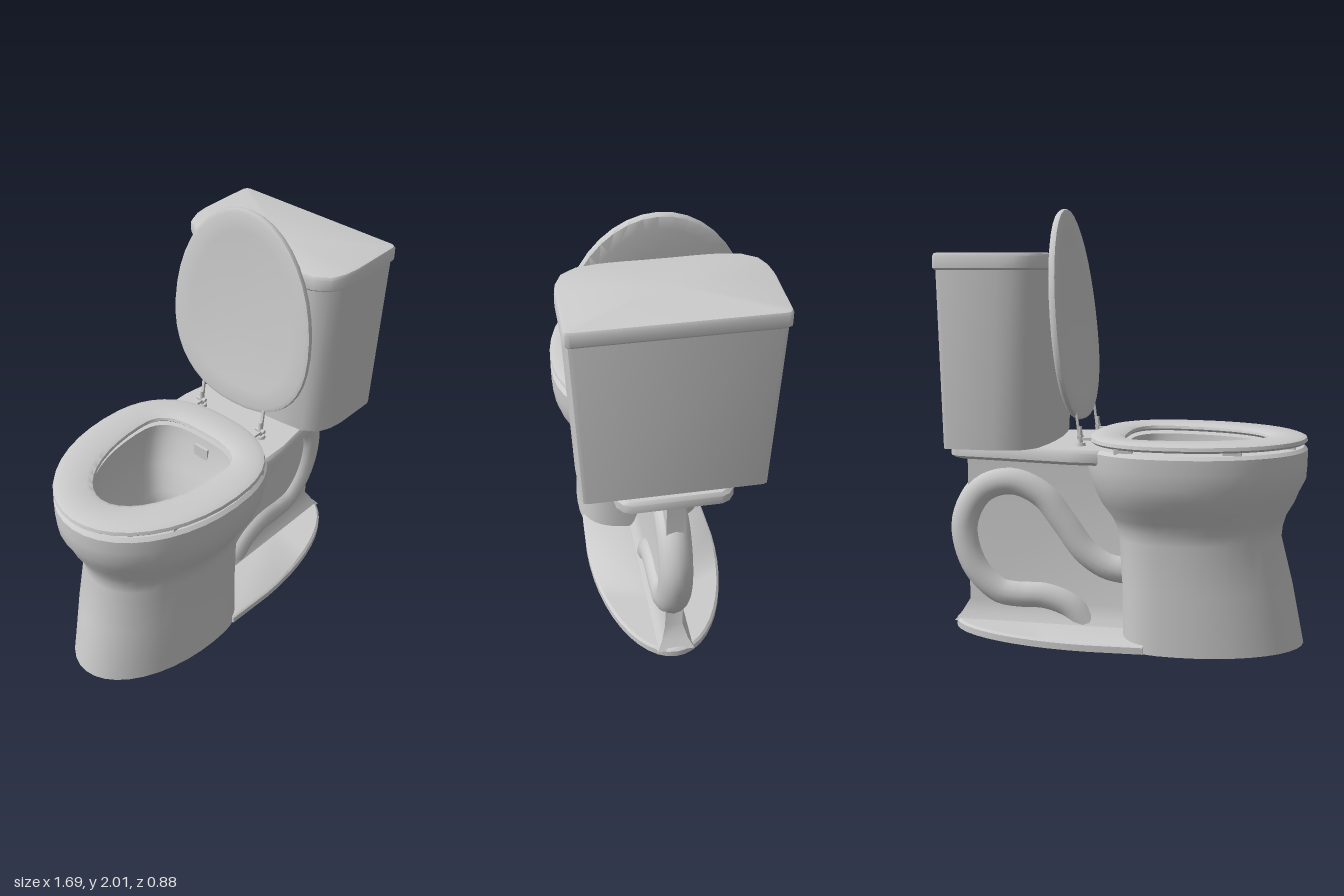
import * as THREE from 'three';
import { toCreasedNormals } from 'three/addons/utils/BufferGeometryUtils.js';

const mat = new THREE.MeshStandardMaterial({ color: 0xcccccc, side: THREE.DoubleSide });

function part(group, name, geometry) {
  const mesh = new THREE.Mesh(geometry, mat);
  mesh.name = name;
  group.add(mesh);
  return mesh;
}

// Egg outline in plan: long nose towards -x, blunter end towards +x
function egg(y, x0, x1, xm, w, n = 2.5, count = 40) {
  const pts = [];
  for (let i = 0; i < count; i++) {
    const t = (i / count) * Math.PI * 2, c = Math.cos(t), s = Math.sin(t);
    const e = c > 0 ? 2 / n : 1;
    const reach = c > 0 ? x1 - xm : xm - x0;
    pts.push([xm + Math.sign(c) * Math.abs(c) ** e * reach, y, Math.sign(s) * Math.abs(s) ** e * w]);
  }
  return pts;
}

// Mirrored outline from half a plan, listed from the back (+x) to the front
function mirrored(y, half) {
  return [...half.map(([x, z]) => [x, y, z]), ...[...half].reverse().map(([x, z]) => [x, y, -z])];
}

// Skin over a stack of equal-length rings, optionally capped flat at each end
function loft(rings, { bottom = false, top = false, crease = 0.7 } = {}) {
  const centre = (ring) => {
    const c = [0, 1, 2].map((k) => ring.reduce((sum, p) => sum + p[k], 0) / ring.length);
    return ring.map(() => c);
  };
  const all = [...rings];
  if (bottom) all.unshift(centre(rings[0]));
  if (top) all.push(centre(rings[rings.length - 1]));
  const n = all[0].length, index = [];
  for (let i = 0; i < all.length - 1; i++) {
    for (let j = 0; j < n; j++) {
      const a = i * n + j, b = i * n + ((j + 1) % n), c = a + n, d = b + n;
      if (!(bottom && i === 0)) index.push(a, c, b);
      if (!(top && i === all.length - 2)) index.push(b, c, d);
      else if (bottom && i === 0) index.push(b, c, d);
    }
  }
  const g = new THREE.BufferGeometry();
  g.setAttribute('position', new THREE.Float32BufferAttribute(all.flat(2), 3));
  g.setIndex(index);
  return toCreasedNormals(g, crease);
}

function buildBowl(group) {
  // Pedestal and outer wall, over the rim, then down the basin to the drain
  // Rows: y, nose x, back x, widest x, half width, bluntness
  const rows = [
    [0.02, -0.85, -0.02, -0.3, 0.32, 3], [0.3, -0.795, -0.015, -0.3, 0.31, 3],
    [0.52, -0.74, 0, -0.3, 0.305, 3], [0.57, -0.745, 0.015, -0.3, 0.31, 2.8],
    [0.62, -0.76, 0.04, -0.29, 0.335, 2.7], [0.68, -0.795, 0.085, -0.28, 0.37, 2.6],
    [0.73, -0.815, 0.11, -0.27, 0.395, 2.5], [0.79, -0.845, 0.135, -0.27, 0.415, 2.5],
    [0.86, -0.85, 0.15, -0.27, 0.42, 2.5], [0.925, -0.85, 0.155, -0.27, 0.42, 2.5],
    [0.94, -0.835, 0.14, -0.27, 0.405, 2.5],
    [0.94, -0.68, -0.03, -0.22, 0.255, 3], [0.87, -0.67, -0.04, -0.22, 0.25, 3],
    [0.75, -0.62, -0.08, -0.22, 0.22, 2.7], [0.63, -0.5, -0.12, -0.24, 0.165, 2.3],
    [0.54, -0.37, -0.14, -0.25, 0.12, 2], [0.38, -0.35, -0.15, -0.25, 0.1, 2],
  ];
  part(group, 'bowl', loft(rows.map((r) => egg(...r)), { top: true }));
}

function buildBase(group) {
  // Rounded foot plate behind the pedestal
  const foot = (y, d) => {
    const half = [];
    for (let i = 0; i <= 12; i++) {
      const t = (i / 12) * Math.PI / 2;
      half.push([0.1 + (0.72 - d) * Math.cos(t), (0.32 - d) * Math.sin(t)]);
    }
    half.push([-0.15, 0.31 - d]);
    return mirrored(y, half);
  };
  part(group, 'footPlate', loft([foot(0.02, 0), foot(0.05, 0), foot(0.06, 0.012)], { bottom: true, top: true }));

  // Thin web under the shelf, flaring where it meets the foot
  const web = [[0.05, 0.81, 0.085], [0.09, 0.78, 0.06], [0.15, 0.745, 0.04], [0.9, 0.745, 0.04]];
  part(group, 'web', loft(web.map(([y, x, h]) => mirrored(y, [[x, h], [-0.05, h]])), { bottom: true, top: true }));

  // Curved waste pipe
  const path = new THREE.CatmullRomCurve3([
    [-0.04, 0.325], [0.07, 0.345], [0.17, 0.41], [0.28, 0.555], [0.38, 0.675], [0.53, 0.735],
    [0.68, 0.685], [0.765, 0.52], [0.72, 0.32], [0.6, 0.2], [0.5, 0.183], [0.37, 0.183],
    [0.25, 0.14], [0.16, 0.04],
  ].map(([x, y]) => new THREE.Vector3(x, y, 0)));
  part(group, 'wastePipe', new THREE.TubeGeometry(path, 64, 0.077, 16));

  // Open outlet ring with its cross bar
  const outlet = part(group, 'outletRing', new THREE.CylinderGeometry(0.08, 0.08, 0.05, 20, 1, true));
  outlet.position.set(0.16, 0.025, 0);
  part(group, 'outletBar', new THREE.BoxGeometry(0.15, 0.02, 0.012)).position.set(0.16, 0.012, 0);

  // Shelf carrying the tank
  const shelf = (y, d) => mirrored(y, [
    [0.77 - d, 0.19], [0.755 - d, 0.225 - d], [0.72 - d, 0.25 - d], [0.5, 0.275 - d],
    [0.25, 0.31 - d], [0.18, 0.32 - d], [0.06, 0.32 - d], [0.02, 0.3 - d],
  ]);
  part(group, 'tankShelf', loft([shelf(0.87, 0.02), shelf(0.885, 0), shelf(0.925, 0), shelf(0.94, 0.012)],
    { bottom: true, top: true }));
}

function buildTank(group) {
  const plan = (y, x0, x1, w) => mirrored(y, [
    [x1, w - 0.025], [x1 - 0.006, w - 0.008], [x1 - 0.025, w], [x0 + 0.2, w], [x0 + 0.13, w - 0.01],
    [x0 + 0.07, w - 0.035], [x0 + 0.025, w - 0.1], [x0 + 0.008, w - 0.22], [x0, 0.08],
  ]);
  part(group, 'tank', loft([plan(0.94, 0.305, 0.74, 0.395), plan(1.74, 0.268, 0.748, 0.43)],
    { bottom: true, top: true }));
  part(group, 'tankLid', loft([
    plan(1.725, 0.268, 0.75, 0.43), plan(1.735, 0.26, 0.758, 0.44), plan(1.785, 0.26, 0.758, 0.44),
    plan(1.797, 0.265, 0.753, 0.435), plan(1.8, 0.275, 0.743, 0.425),
  ], { bottom: true, top: true }));
}

function buildSeat(group) {
  // Rounded seat ring, its section swept from the inner edge round to itself
  const inner = (y, d) => egg(y, -0.67 - d, -0.03 + d, -0.2, 0.25 + d, 3);
  const outer = (y, d) => egg(y, -0.85 + d, 0.135 - d, -0.27, 0.42 - d, 2.5);
  part(group, 'seat', loft([
    inner(0.955, 0.01), outer(0.955, 0.01), outer(0.965, 0), outer(0.98, 0.004), outer(0.99, 0.03),
    inner(0.988, 0.03), inner(0.978, 0.004), inner(0.965, 0), inner(0.955, 0.01),
  ], { crease: 0.9 }));

  // Bumpers between seat and rim
  for (const side of [-1, 1]) {
    for (const [x, z] of [[-0.76, 0.1], [-0.54, 0.32], [-0.07, 0.35]]) {
      part(group, 'bumper', new THREE.BoxGeometry(0.08, 0.025, 0.04)).position.set(x, 0.947, side * z);
    }
  }

  // Raised lid, leaning back on the tank
  const cover = (y, d) => egg(y, -0.965 + d, -d, -0.4, 0.398 - d, 2.3);
  const lid = part(group, 'seatLid', loft([
    cover(0.002, 0.1), cover(-0.008, 0.02), cover(-0.002, 0.003), cover(0.012, 0),
    cover(0.026, 0.008), cover(0.034, 0.06), cover(0.038, 0.18),
  ], { bottom: true, top: true, crease: 0.9 }));
  lid.position.set(0.175, 1.04, 0);
  lid.rotation.z = -1.66;

  // Hinges
  for (const side of [-1, 1]) {
    const hinge = new THREE.Group();
    hinge.name = 'hinge';
    hinge.position.set(0.16, 0.94, side * 0.185);
    group.add(hinge);
    part(hinge, 'hingeFoot', new THREE.CylinderGeometry(0.022, 0.026, 0.014, 12)).position.y = 0.007;
    part(hinge, 'hingePost', new THREE.CylinderGeometry(0.008, 0.012, 0.08, 10)).position.y = 0.045;
    const pin = part(hinge, 'hingePin', new THREE.CylinderGeometry(0.01, 0.01, 0.05, 10));
    pin.rotation.x = Math.PI / 2;
    pin.position.y = 0.04;
    const arm = part(hinge, 'hingeArm', new THREE.BoxGeometry(0.01, 0.12, 0.014));
    arm.position.set(0.011, 0.09, 0);
    arm.rotation.z = -0.12;
    const tab = part(hinge, 'seatTab', new THREE.BoxGeometry(0.07, 0.012, 0.016));
    tab.position.set(-0.03, 0.03, 0);
  }
}

export function createModel() {
  const group = new THREE.Group();
  group.name = 'toilet';
  buildBowl(group);
  buildBase(group);
  buildTank(group);
  buildSeat(group);
  return group;
}
